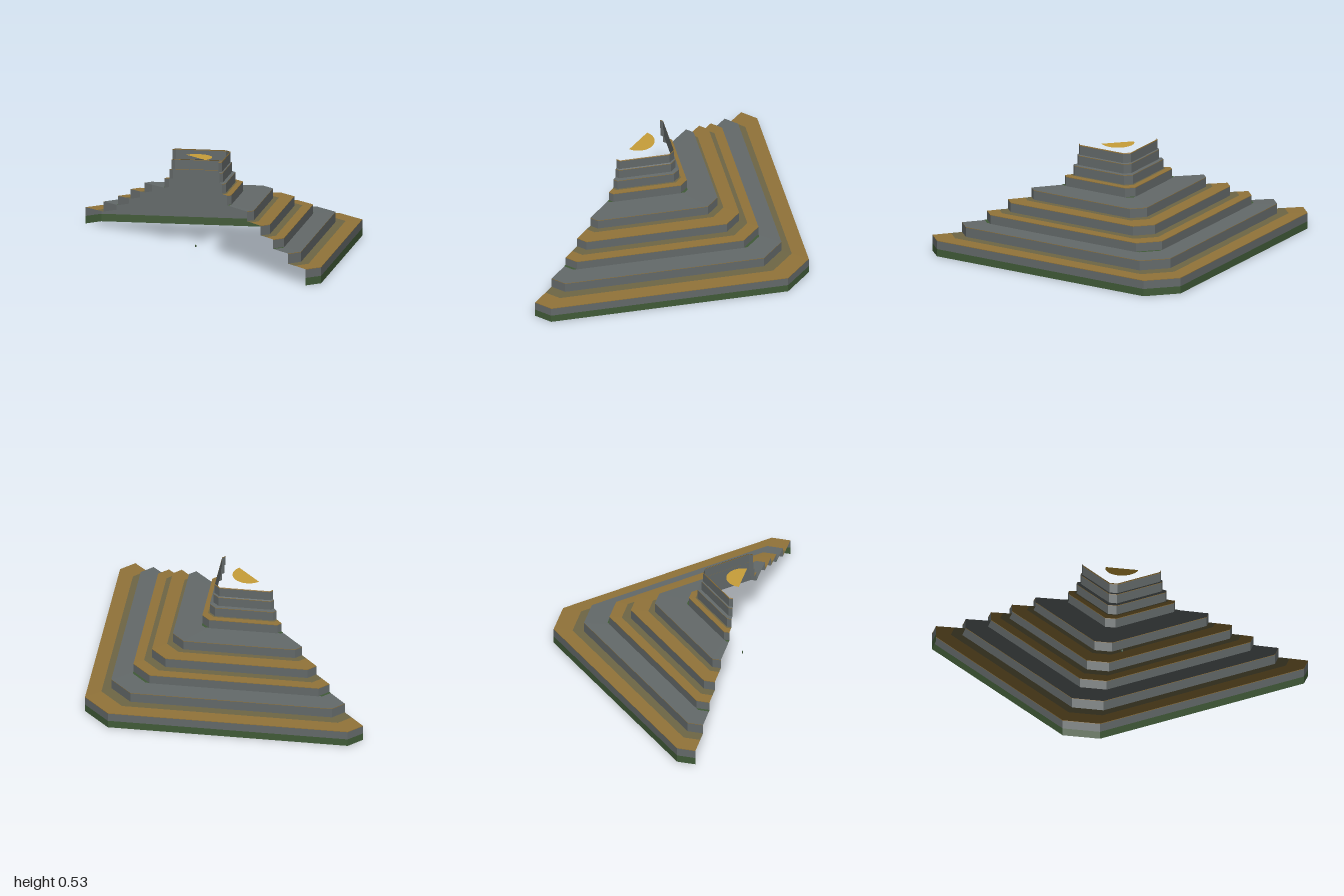
import * as THREE from 'three';

const FRONT = 0.5; // open front plane of the half pyramid

function material(name, color) {
  const m = new THREE.MeshStandardMaterial({ color, side: THREE.DoubleSide, flatShading: true });
  m.name = name;
  return m;
}

// Half outline of a square with cut corners, from left front round the back to right front
function outline(r, y, c = r * 0.1) {
  return [[r, 0], [r, c], [c, r], [-c, r], [-r, c], [-r, 0]].map(([x, d]) => [x, y, FRONT - d]);
}

// Band of quads between a lower/outer outline and an upper/inner one
function band(name, a, b, mat) {
  const p = [];
  for (let i = 0; i < a.length - 1; i++) {
    p.push(...a[i], ...a[i + 1], ...b[i + 1], ...a[i], ...b[i + 1], ...b[i]);
  }
  const g = new THREE.BufferGeometry();
  g.setAttribute('position', new THREE.Float32BufferAttribute(p, 3));
  g.computeVertexNormals();
  const mesh = new THREE.Mesh(g, mat);
  mesh.name = name;
  return mesh;
}

export function createModel() {
  const stone = material('grey stone', 0x636969);
  const ochre = material('ochre', 0x917339);
  const olive = material('olive', 0x6e6645);
  const green = material('moss green', 0x405a37);
  const gold = material('gold', 0xc79e39);
  const model = new THREE.Group();
  model.name = 'steppedPyramid';

  // Each tier: radius, top height, tread colour, radius where the olive inner strip starts
  const tiers = [
    { r: 1.0, top: 0.09, tread: ochre, strip: 0.9 },
    { r: 0.84, top: 0.147, tread: stone },
    { r: 0.705, top: 0.2, tread: ochre, strip: 0.64 },
    { r: 0.592, top: 0.255, tread: ochre, strip: 0.5 },
    { r: 0.465, top: 0.31, tread: stone },
    { r: 0.285, top: 0.365, tread: ochre, strip: 0.25 },
    { r: 0.24, top: 0.42, tread: stone },
    { r: 0.218, top: 0.475, tread: stone },
    { r: 0.21, top: 0.53 },
  ];

  let base = 0.04;
  model.add(band('mossyFoot', outline(1, 0), outline(1, base), green));
  tiers.forEach(({ r, top, tread, strip }, i) => {
    const tier = new THREE.Group();
    tier.name = `tier${i + 1}`;
    // Wall with a thin ochre lip
    const lip = top - 0.003;
    tier.add(band('wall', outline(r, base), outline(r, lip - 0.003), stone));
    tier.add(band('lip', outline(r, lip - 0.003), outline(r, lip), ochre));
    // Gently rising tread up to the next wall
    const next = tiers[i + 1];
    if (next) {
      const inner = outline(next.r, top);
      if (strip) {
        const middle = outline(strip, top - 0.001);
        tier.add(band('tread', outline(r, lip), middle, tread));
        tier.add(band('innerStrip', middle, inner, olive));
      } else {
        tier.add(band('tread', outline(r, lip), inner, tread));
      }
    } else {
      tier.add(band('rim', outline(r, lip), outline(r - 0.002, top), ochre));
    }
    model.add(tier);
    base = top;
  });

  // Narrow moss strips along the flat sides below the third and sixth tiers
  for (const i of [2, 5]) {
    const { r } = tiers[i];
    const y = tiers[i - 1].top + 0.002;
    model.add(band('mossStrip', outline(r + 0.014, y, r * 0.1 - 0.014), outline(r, y), green));
  }

  // Half disc level with the summit
  const disc = new THREE.Mesh(new THREE.CircleGeometry(0.087, 24, 0, Math.PI), gold);
  disc.name = 'summitDisc';
  disc.rotation.x = -Math.PI / 2;
  disc.position.set(0, 0.52, FRONT);
  model.add(disc);

  // Tiny stud at the centre of the open front
  const stud = new THREE.Mesh(new THREE.BoxGeometry(0.008, 0.012, 0.004), green);
  stud.name = 'stud';
  stud.position.set(0, 0.045, FRONT - 0.002);
  model.add(stud);

  return model;
}
